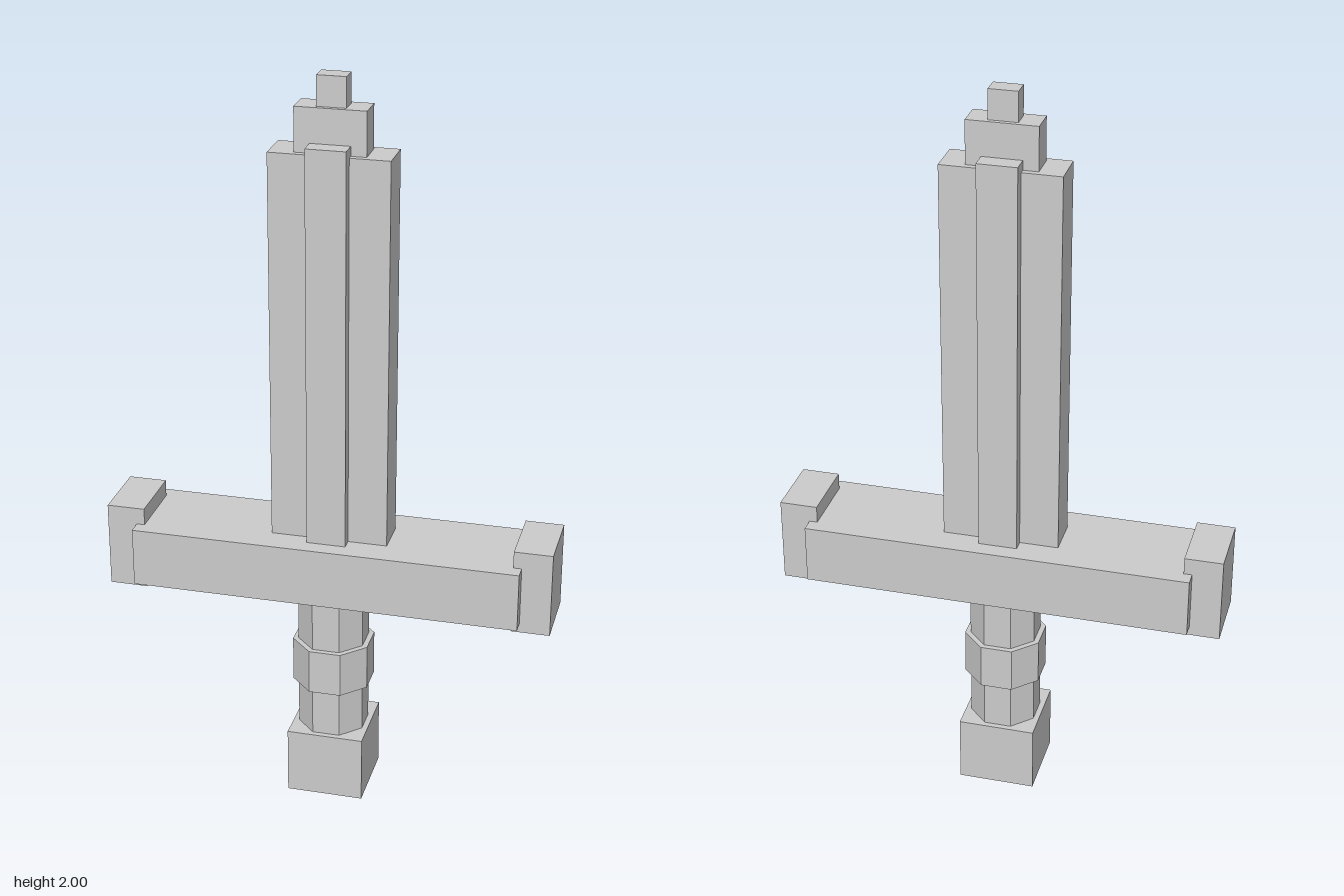
import * as THREE from 'three';

export function createModel() {
  const sword = new THREE.Group();
  sword.name = 'sword';
  const grey = new THREE.MeshStandardMaterial({ color: 0xcccccc });
  grey.name = 'grey';

  const add = (name, geometry, x, y) => {
    const mesh = new THREE.Mesh(geometry, grey);
    mesh.name = name;
    mesh.position.set(x, y, 0);
    sword.add(mesh);
  };

  // Box given by half width, half depth and its bottom and top heights
  const box = (name, hx, hz, y0, y1, x = 0) =>
    add(name, new THREE.BoxGeometry(hx * 2, y1 - y0, hz * 2), x, (y0 + y1) / 2);

  // Faceted eight-sided prism with a flat side facing forward
  const octagon = (name, apothem, y0, y1) => {
    const r = apothem / Math.cos(Math.PI / 8);
    const prism = new THREE.CylinderGeometry(r, r, y1 - y0, 8).rotateY(Math.PI / 8).toNonIndexed();
    prism.computeVertexNormals();
    add(name, prism, 0, (y0 + y1) / 2);
  };

  // Handle
  box('pommel', 0.104, 0.104, 0, 0.185);
  octagon('grip', 0.089, 0.18, 0.61);
  octagon('gripRing', 0.103, 0.32, 0.445);

  // Crossguard with a block at each end
  box('crossguard', 0.52, 0.131, 0.603, 0.764);
  for (const side of [-1, 1]) {
    box(side > 0 ? 'leftGuardEnd' : 'rightGuardEnd', 0.051, 0.092, 0.578, 0.81, side * 0.549);
  }

  // Blade, central ridge and stepped tip
  box('blade', 0.156, 0.053, 0.75, 1.807);
  box('bladeRidge', 0.052, 0.085, 0.75, 1.832);
  box('lowerTip', 0.092, 0.037, 1.79, 1.922);
  box('upperTip', 0.038, 0.025, 1.91, 2);

  return sword;
}
